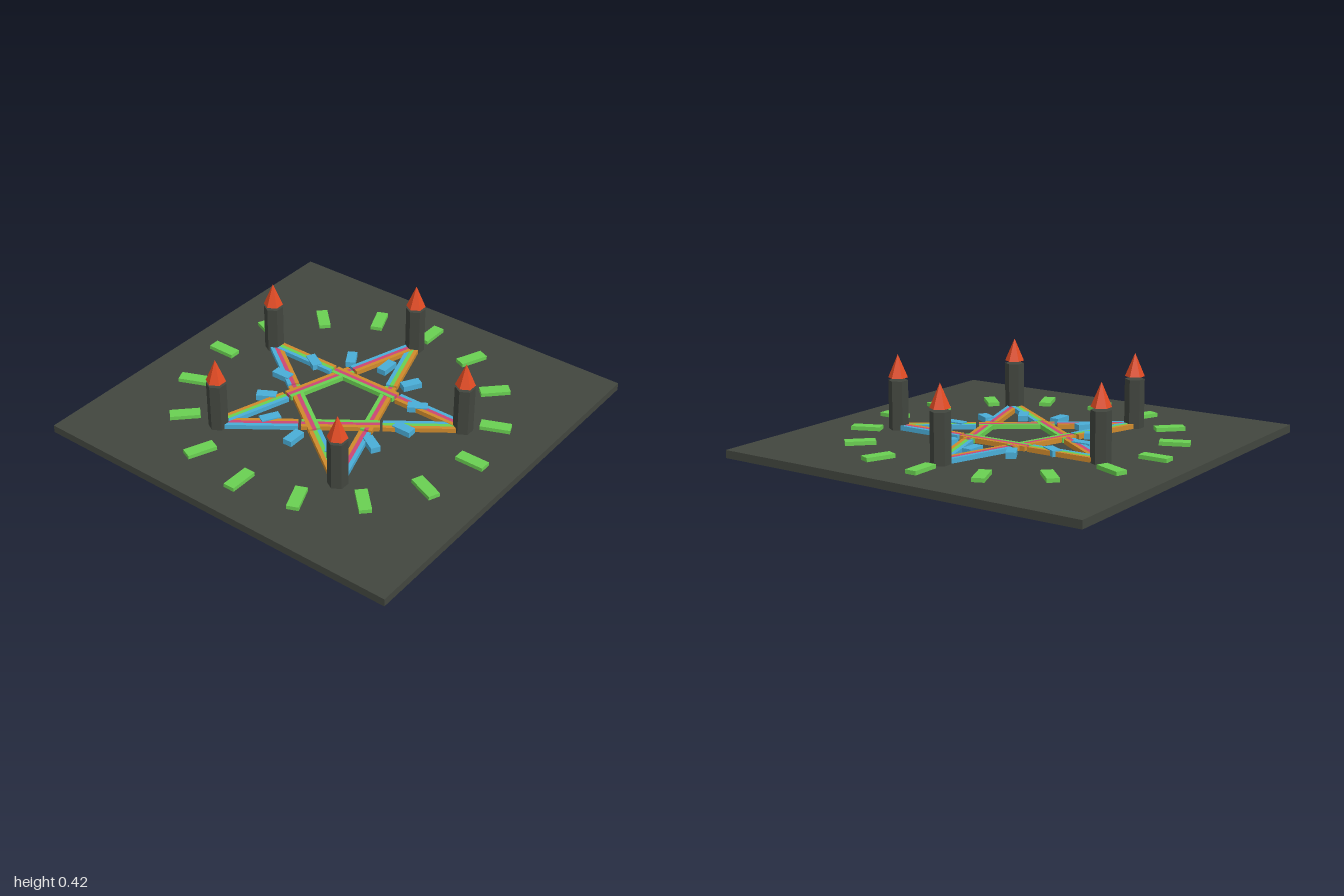
import * as THREE from 'three';

const mat = (name, color) => {
  const m = new THREE.MeshStandardMaterial({ color, flatShading: true });
  m.name = name;
  return m;
};

export function createModel() {
  const root = new THREE.Group();
  root.name = 'starPlaza';
  const slate = mat('slate', 0x42463f);
  const red = mat('roofRed', 0xe04a22);
  const green = mat('green', 0x6ad052);
  const blue = mat('blue', 0x4aaed8);
  const orange = mat('orange', 0xcf8a2c);
  const pink = mat('pink', 0xcc4674);

  const add = (parent, name, geo, material, x, y, z) => {
    const m = new THREE.Mesh(geo, material);
    m.name = name;
    m.position.set(x, y, z);
    parent.add(m);
    return m;
  };

  // Square ground slab
  add(root, 'slab', new THREE.BoxGeometry(2, 0.04, 2), slate, 0, 0.02, 0);

  // Rings of radial tiles
  const ring = (name, count, radius, width, height, length, material) => {
    const geo = new THREE.BoxGeometry(width, height, length);
    for (let i = 0; i < count; i++) {
      const a = (i / count) * Math.PI * 2;
      const tile = add(root, name, geo, material,
        Math.sin(a) * radius, 0.04 + height / 2, Math.cos(a) * radius);
      tile.rotation.y = a;
    }
  };
  ring('outerTile', 16, 0.775, 0.06, 0.02, 0.15, green);
  ring('innerTile', 12, 0.378, 0.05, 0.03, 0.1, blue);

  // Star: five striped lines, each in three sections with small gaps
  const R = 0.625;
  const third = (2 * R * Math.sin(Math.PI * 0.4)) / 3;
  const lineZ = -R * Math.cos(Math.PI * 0.4);
  const stripes = [
    [orange, green, blue],
    [orange, pink, green],
    [blue, pink, orange],
  ];
  const bar = new THREE.BoxGeometry(third - 0.014, 0.024, 0.02);
  for (let k = 0; k < 5; k++) {
    const line = new THREE.Group();
    line.name = 'starLine';
    line.rotation.y = (k * Math.PI * 2) / 5;
    line.position.y = 0.053 - k * 0.0005; // slight steps keep crossings clean
    stripes.forEach((colors, s) => colors.forEach((c, j) =>
      add(line, 'starStripe', bar, c, (s - 1) * third, 0, lineZ + (j - 1) * 0.02)));
    root.add(line);
  }

  // Hexagonal towers with floating pointed roofs on the star tips
  const shaft = new THREE.CylinderGeometry(0.05, 0.05, 0.25, 6);
  const roof = new THREE.ConeGeometry(0.05, 0.118, 6);
  for (let k = 0; k < 5; k++) {
    const a = (k * Math.PI * 2) / 5;
    const x = Math.sin(a) * R, z = -Math.cos(a) * R;
    add(root, 'towerShaft', shaft, slate, x, 0.165, z);
    add(root, 'towerRoof', roof, red, x, 0.363, z);
  }
  return root;
}
